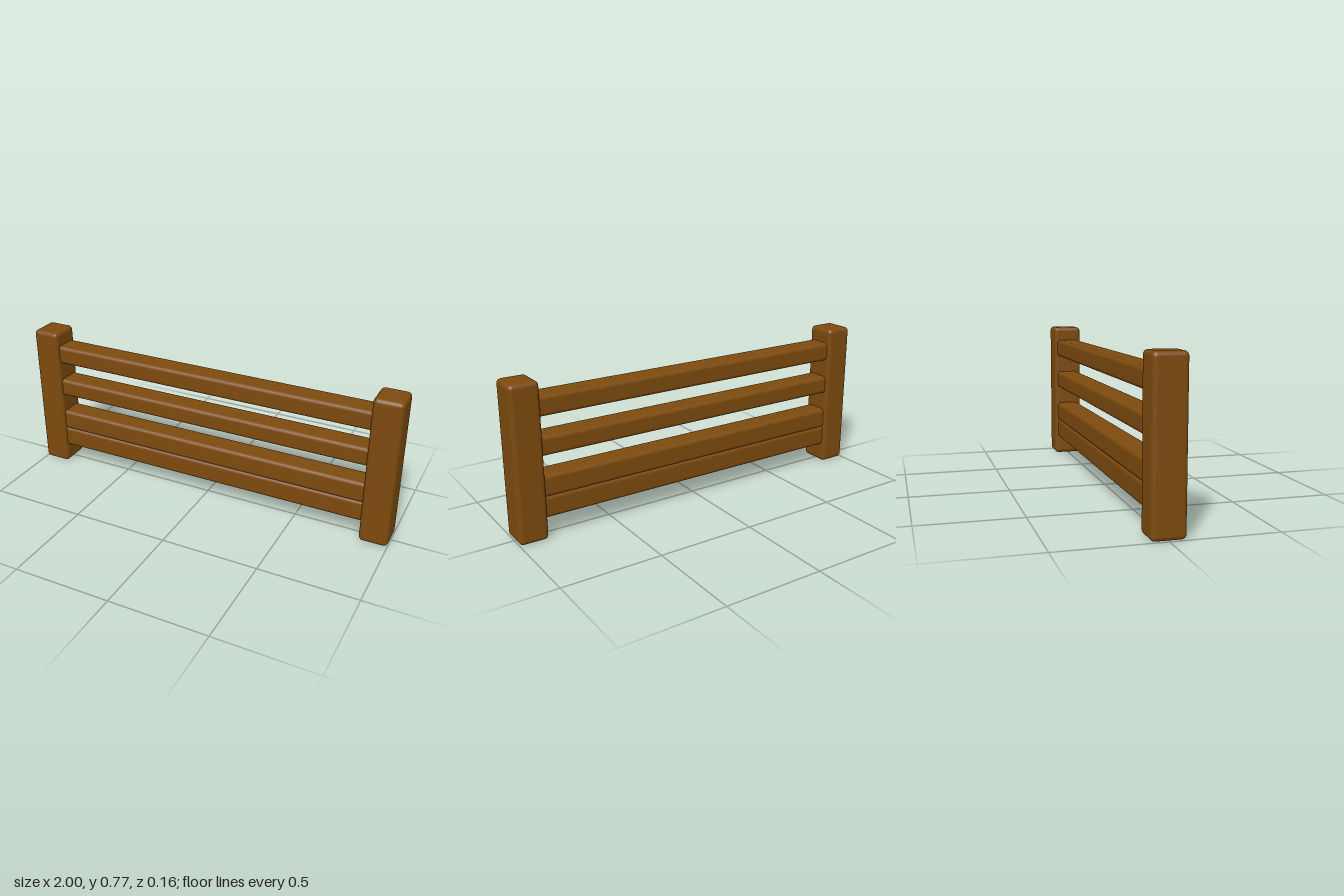
import * as THREE from 'three';
import { RoundedBoxGeometry } from 'three/addons/geometries/RoundedBoxGeometry.js';

export function createModel() {
  const group = new THREE.Group();
  const wood = new THREE.MeshStandardMaterial({ color: 0x7c4a0e });
  wood.name = 'brown wood';

  // A softly rounded beam centred at x, y
  function beam(name, w, h, d, radius, x, y) {
    const mesh = new THREE.Mesh(new RoundedBoxGeometry(w, h, d, 4, radius), wood);
    mesh.name = name;
    mesh.position.set(x, y, 0);
    group.add(mesh);
  }

  // End posts
  const postHeight = 0.775;
  for (const [name, side] of [['leftPost', 1], ['rightPost', -1]]) {
    beam(name, 0.145, postHeight, 0.158, 0.022, side * 0.9275, postHeight / 2);
  }

  // Horizontal rails, ends buried in the posts; the lowest two touch
  const rails = [
    ['bottomRail', 0.1, 0.212],
    ['lowerRail', 0.206, 0.315],
    ['middleRail', 0.41, 0.506],
    ['topRail', 0.6, 0.699],
  ];
  for (const [name, low, high] of rails) {
    beam(name, 1.8, high - low, 0.124, 0.02, 0, (low + high) / 2);
  }

  return group;
}
